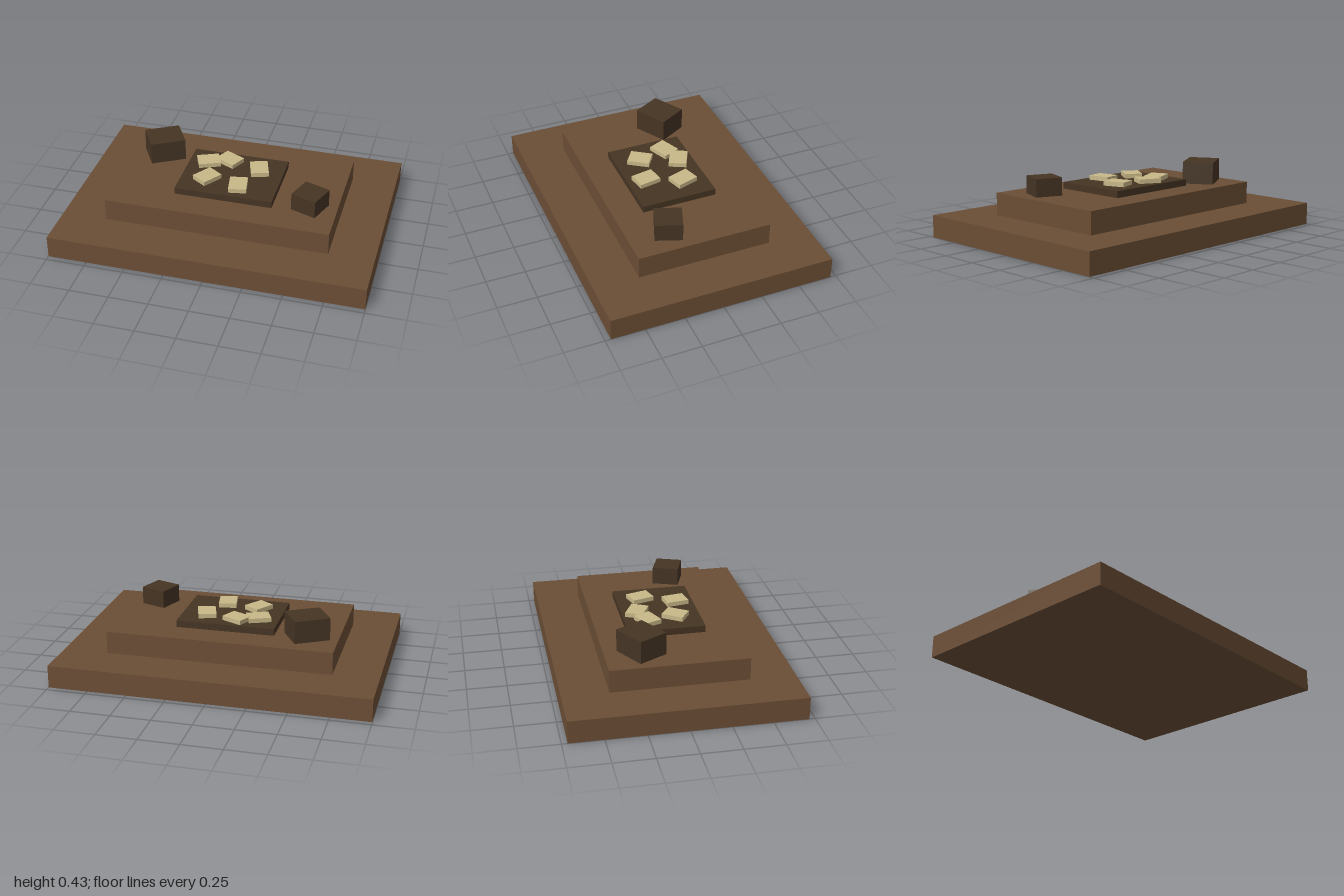
import * as THREE from 'three';

export function createModel() {
  const model = new THREE.Group();
  const material = (name, color) => {
    const m = new THREE.MeshStandardMaterial({ color });
    m.name = name;
    return m;
  };
  const earth = material('earth brown', 0x6b4e35);
  const dark = material('dark brown', 0x453423);
  const cream = material('cream', 0xc8b888);

  // Box resting on height y, turned about the vertical axis
  const block = (name, mat, [w, h, d], [x, y, z], turn = 0) => {
    const mesh = new THREE.Mesh(new THREE.BoxGeometry(w, h, d), mat);
    mesh.name = name;
    mesh.position.set(x, y + h / 2, z);
    mesh.rotation.y = turn;
    model.add(mesh);
  };

  // Stepped mound
  block('lowerTier', earth, [2, 0.143, 1.429], [0, 0, 0]);
  block('upperTier', earth, [1.429, 0.143, 0.857], [0, 0.143, 0]);

  // Dark slab in the middle
  block('centreSlab', dark, [0.629, 0.043, 0.486], [0, 0.286, 0]);

  // Loose blocks at the corners
  block('largeBlock', dark, [0.229, 0.143, 0.2], [-0.514, 0.286, -0.2], 0.52);
  block('smallBlock', dark, [0.171, 0.114, 0.171], [0.543, 0.286, 0.171], -0.35);

  // Scattered pale chips: x, z, turn
  const chips = [
    [-0.185, -0.1, 0.4],
    [-0.055, -0.145, -0.46],
    [0.155, -0.088, 0.3 + Math.PI / 2],
    [-0.145, 0.085, -0.6 + Math.PI / 2],
    [0.07, 0.128, 0.17 + Math.PI / 2],
  ];
  chips.forEach(([x, z, turn], i) => {
    // Tiny lift keeps overlapping chips from sharing a face
    block(`chip${i + 1}`, cream, [0.143, 0.0286, 0.114], [x, 0.329 + (i === 1 ? 0.001 : 0), z], turn);
  });

  return model;
}
